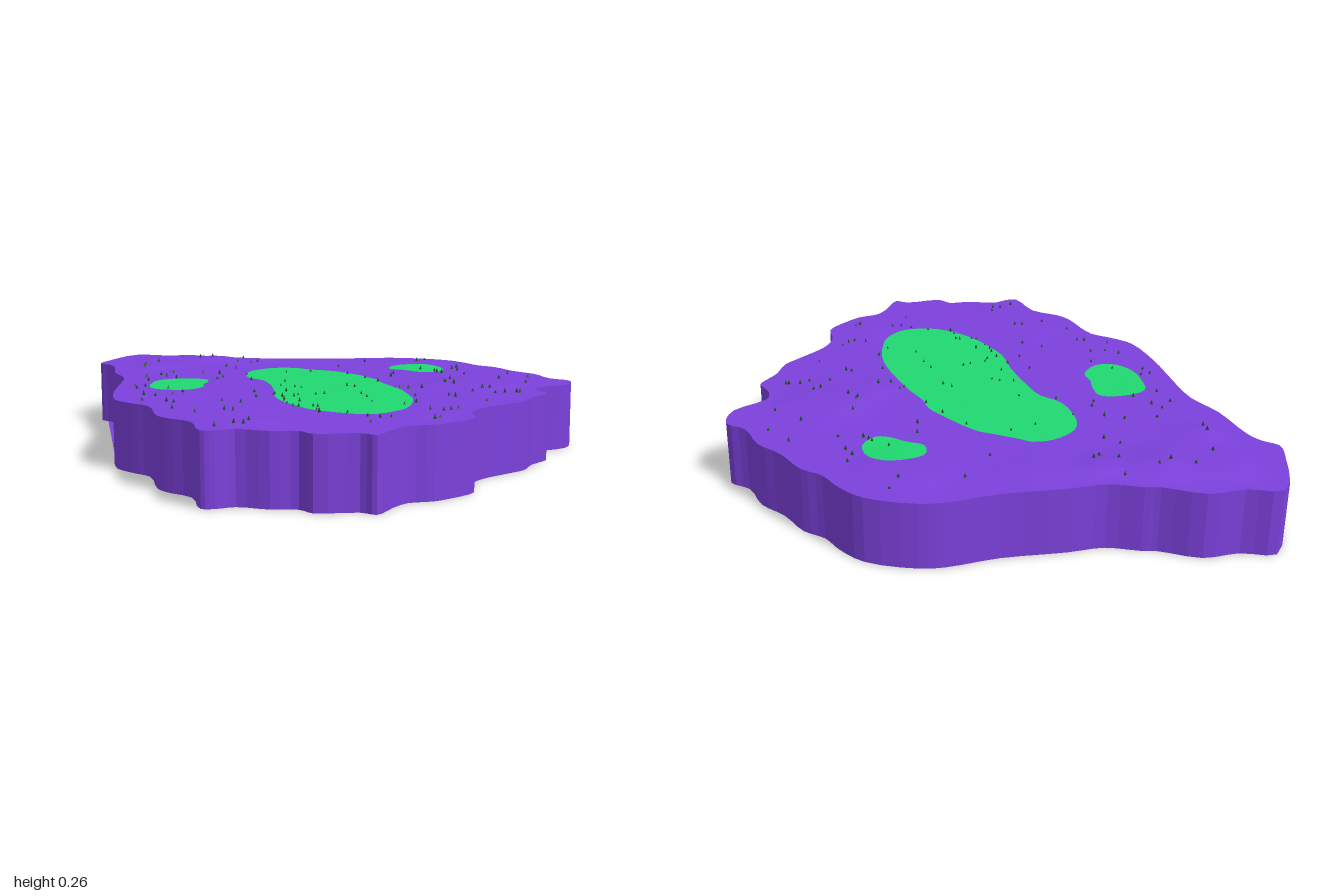
import * as THREE from 'three';
import { mergeGeometries } from 'three/addons/utils/BufferGeometryUtils.js';

const EDGE_Y = 0.226;

// Outlines as x, z pairs, clockwise from above
const ISLAND = [
  -.645, -1, -.54, -.95, -.42, -.93, -.31, -.84, -.265, -.82, -.17, -.76, -.05, -.74, .16, -.69,
  .33, -.675, .41, -.65, .55, -.55, .6, -.45, .62, -.37, .67, -.3, .7, -.18, .75, -.08,
  .76, .04, .808, .11, .76, .2, .635, .245, .61, .3, .62, .38, .59, .41, .54, .45,
  .49, .52, .42, .56, .3, .63, .25, .7, .23, .79, .14, .85, .08, .875, 0, .88,
  -.06, .93, -.12, .995, -.16, .96, -.29, .94, -.32, .89, -.4, .87, -.49, .82, -.55, .83,
  -.59, .82, -.6, .675, -.67, .585, -.69, .53, -.7, .36, -.75, .29, -.795, .21, -.79, .02,
  -.765, -.13, -.74, -.31, -.765, -.45, -.76, -.63, -.775, -.69, -.808, -.74, -.77, -.83,
];
const PATCHES = [
  { name: 'largeGreenPatch', centre: [-.07, .1], outline: [
    -.15, -.43, -.08, -.415, -.05, -.38, 0, -.33, .05, -.28, .09, -.2, .125, -.1, .14, -.04,
    .135, .02, .15, .14, .155, .29, .14, .43, .095, .55, .05, .62, -.04, .67, -.13, .645,
    -.21, .565, -.26, .45, -.285, .29, -.265, .16, -.255, 0, -.26, -.1, -.3, -.18, -.29, -.31, -.245, -.39] },
  { name: 'rightGreenPatch', centre: [-.56, -.08], outline: [
    -.62, -.2, -.53, -.215, -.455, -.18, -.46, -.11, -.48, -.055, -.49, .01,
    -.565, .065, -.635, .04, -.665, -.025, -.655, -.115] },
  { name: 'leftGreenPatch', centre: [.35, -.28], outline: [
    .285, -.375, .4, -.375, .45, -.315, .44, -.225, .38, -.185, .34, -.205, .3, -.26, .255, -.305] },
];
// Low mounds: x, z, height, radius
const MOUNDS = [
  [-.38, -.72, .018, .12], [-.2, -.66, .012, .07], [-.02, -.6, .008, .1], [-.56, -.82, .012, .1],
  [-.6, -.58, .012, .1], [.42, .12, .013, .16], [.4, -.45, .01, .14], [.25, .2, .005, .08],
  [-.5, .5, .008, .14], [-.45, .74, .008, .08], [-.6, .2, .007, .1], [.1, .74, .006, .08],
];

const smoothLoop = (flat, perPoint = 3) => {
  const pts = [];
  for (let i = 0; i < flat.length; i += 2) pts.push(new THREE.Vector3(flat[i], 0, flat[i + 1]));
  const curve = new THREE.CatmullRomCurve3(pts, true, 'centripetal');
  return curve.getPoints(pts.length * perPoint).slice(0, -1);
};

const mound = (x, z) => MOUNDS.reduce(
  (h, [mx, mz, a, r]) => h + a * Math.exp(-((x - mx) ** 2 + (z - mz) ** 2) / (r * r)), 0)
  + 0.0012 * Math.sin(x * 23 + z * 9) * Math.sin(z * 21 - x * 5);

// Joins successive rings of points into one surface
function loft(rings) {
  const n = rings[0].length, pos = [], index = [];
  for (const ring of rings) for (const p of ring) pos.push(p.x, p.y, p.z);
  for (let k = 0; k < rings.length - 1; k++) {
    for (let i = 0; i < n; i++) {
      const a = k * n + i, b = k * n + (i + 1) % n;
      index.push(b, a, a + n, b, a + n, b + n);
    }
  }
  const g = new THREE.BufferGeometry();
  g.setAttribute('position', new THREE.Float32BufferAttribute(pos, 3));
  g.setIndex(index);
  g.computeVertexNormals();
  return g;
}

// Rings shrinking from an outline to its centre, laid over the ground
function drape(loop, [cx, cz], count, heightAt) {
  const rings = [];
  for (let k = 0; k <= count; k++) {
    const t = Math.max(1 - k / count, 0.002);
    rings.push(loop.map((p) => {
      const x = cx + (p.x - cx) * t, z = cz + (p.z - cz) * t;
      return new THREE.Vector3(x, heightAt(x, z, t), z);
    }));
  }
  return loft(rings);
}

function seeded(seed) {
  return () => (seed = (seed * 16807) % 2147483647) / 2147483647;
}

export function createModel() {
  const group = new THREE.Group();
  const purple = { color: 0x7c41dc };
  const add = (name, geometry, options) => {
    const mesh = new THREE.Mesh(geometry, new THREE.MeshStandardMaterial(options));
    mesh.name = name;
    group.add(mesh);
  };

  const loop = smoothLoop(ISLAND);
  const centre = [-.05, 0];

  // Sheer sides
  const wall = loft([loop, loop.map((p) => new THREE.Vector3(p.x, EDGE_Y, p.z))]);
  add('sides', wall, { ...purple, flatShading: true });

  // Flat base, running straight across the hollow in the side
  const base = loop.filter((p) => !(p.x < -.72 && p.z > -.7 && p.z < .2));
  const baseGeometry = new THREE.ShapeGeometry(
    new THREE.Shape(base.map((p) => new THREE.Vector2(p.x, p.z)))).rotateX(Math.PI / 2);
  add('base', baseGeometry, { ...purple, side: THREE.DoubleSide });

  // Gently rolling ground, level at the rim
  const ground = (x, z, t) => EDGE_Y + mound(x, z) * Math.min(1, (1 - t) * 8);
  add('ground', drape(loop, centre, 40, ground), purple);

  // Green patches lying just over the ground
  for (const { name, centre: c, outline } of PATCHES) {
    const cover = (x, z) => EDGE_Y + mound(x, z) + 0.003;
    add(name, drape(smoothLoop(outline), c, 16, cover), { color: 0x20d870 });
  }

  // Scattered tufts of grass
  const random = seeded(4217);
  const tufts = [];
  for (let i = 0; i < 130; i++) {
    const p = loop[Math.floor(random() * loop.length)];
    const t = Math.sqrt(random()) * 0.93;
    const x = centre[0] + (p.x - centre[0]) * t, z = centre[1] + (p.z - centre[1]) * t;
    const h = 0.009 + random() * 0.009;
    tufts.push(new THREE.ConeGeometry(0.0055, h, 4)
      .rotateY(random() * 3)
      .translate(x, ground(x, z, t) + h / 2, z));
  }
  add('grassTufts', mergeGeometries(tufts), { color: 0x1d4a22, flatShading: true });

  return group;
}
